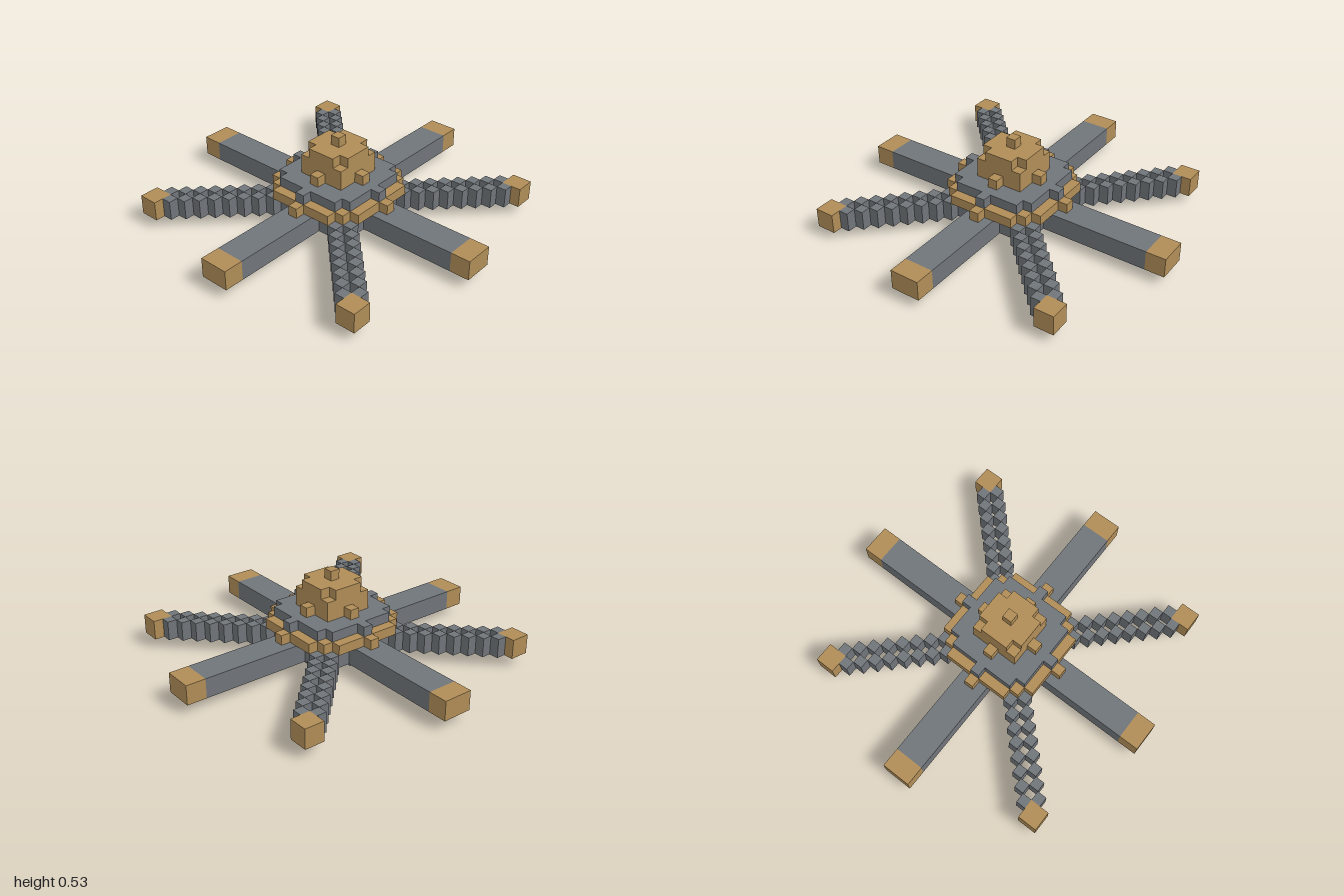
import * as THREE from 'three';

const V = 2 / 34; // edge of one voxel

export function createModel() {
  const model = new THREE.Group();
  const grey = new THREE.MeshStandardMaterial({ color: 0x70757a, flatShading: true });
  const gold = new THREE.MeshStandardMaterial({ color: 0xb08d57, flatShading: true });

  // Block between two voxel corners
  function block(name, mat, [x0, y0, z0], [x1, y1, z1], parent = model) {
    const mesh = new THREE.Mesh(new THREE.BoxGeometry((x1 - x0) * V, (y1 - y0) * V, (z1 - z0) * V), mat);
    mesh.position.set((x0 + x1) / 2 * V, (y0 + y1) / 2 * V, (z0 + z1) / 2 * V);
    mesh.name = name;
    parent.add(mesh);
  }

  // Stepped disc around the centre voxel: all cells with i*i + k*k <= r2
  function disc(name, mat, r2, y0, y1) {
    const r = Math.floor(Math.sqrt(r2));
    const right = [], left = [];
    let last = -1;
    for (let k = -r; k <= r; k++) {
      const e = Math.floor(Math.sqrt(r2 - k * k));
      if (e !== last) {
        if (last >= 0) {
          right.push([last + 1, k]);
          left.push([-last, k]);
        }
        right.push([e + 1, k]);
        left.push([-e, k]);
      }
      last = e;
    }
    right.push([last + 1, r + 1]);
    left.push([-last, r + 1]);
    const outline = [...right, ...left.reverse()].map(([x, z]) => new THREE.Vector2(x * V, z * V));
    const geo = new THREE.ExtrudeGeometry(new THREE.Shape(outline), { depth: (y1 - y0) * V, bevelEnabled: false });
    geo.rotateX(Math.PI / 2);
    const mesh = new THREE.Mesh(geo, mat);
    mesh.position.y = y1 * V;
    mesh.name = name;
    model.add(mesh);
  }

  // Hub layers
  disc('basePlate', grey, 9, 0, 1);
  disc('hub', grey, 25, 1, 3);
  disc('trimRing', gold, 36, 3, 4);
  disc('deck', grey, 25, 4, 5);

  // Stepped dome: slices of a sphere of radius 3
  for (let h = 0; h <= 3; h++) disc('domeLayer', gold, 9 - h * h, 5 + h, 6 + h);

  // Straight arms with gold tips
  for (const [a, b, tipA, tipB] of [[5, 15, 15, 17], [-15, -4, -17, -15]]) {
    block('armX', grey, [a, 1, -1], [b, 3, 2]);
    block('armTipX', gold, [tipA, 1, -1], [tipB, 3, 2]);
    block('armZ', grey, [-1, 1, a], [2, 3, b]);
    block('armTipZ', gold, [-1, 1, tipA], [2, 3, tipB]);
  }

  // Diagonal arms: two staggered rows of posts and a gold tip
  for (const sx of [-1, 1]) {
    for (const sz of [-1, 1]) {
      const arm = new THREE.Group();
      arm.name = 'diagonalArm';
      model.add(arm);
      const post = (i, k) => block('post', grey, [sx * i, 1, sz * k], [sx * i + 1, 3, sz * k + 1], arm);
      for (let n = 4; n <= 11; n++) {
        post(n, n + 1);
        post(n + 1, n);
      }
      const x = sx > 0 ? 12 : -13, z = sz > 0 ? 12 : -13;
      block('diagonalTip', gold, [x, 1, z], [x + 2, 3, z + 2], arm);
    }
  }
  return model;
}
